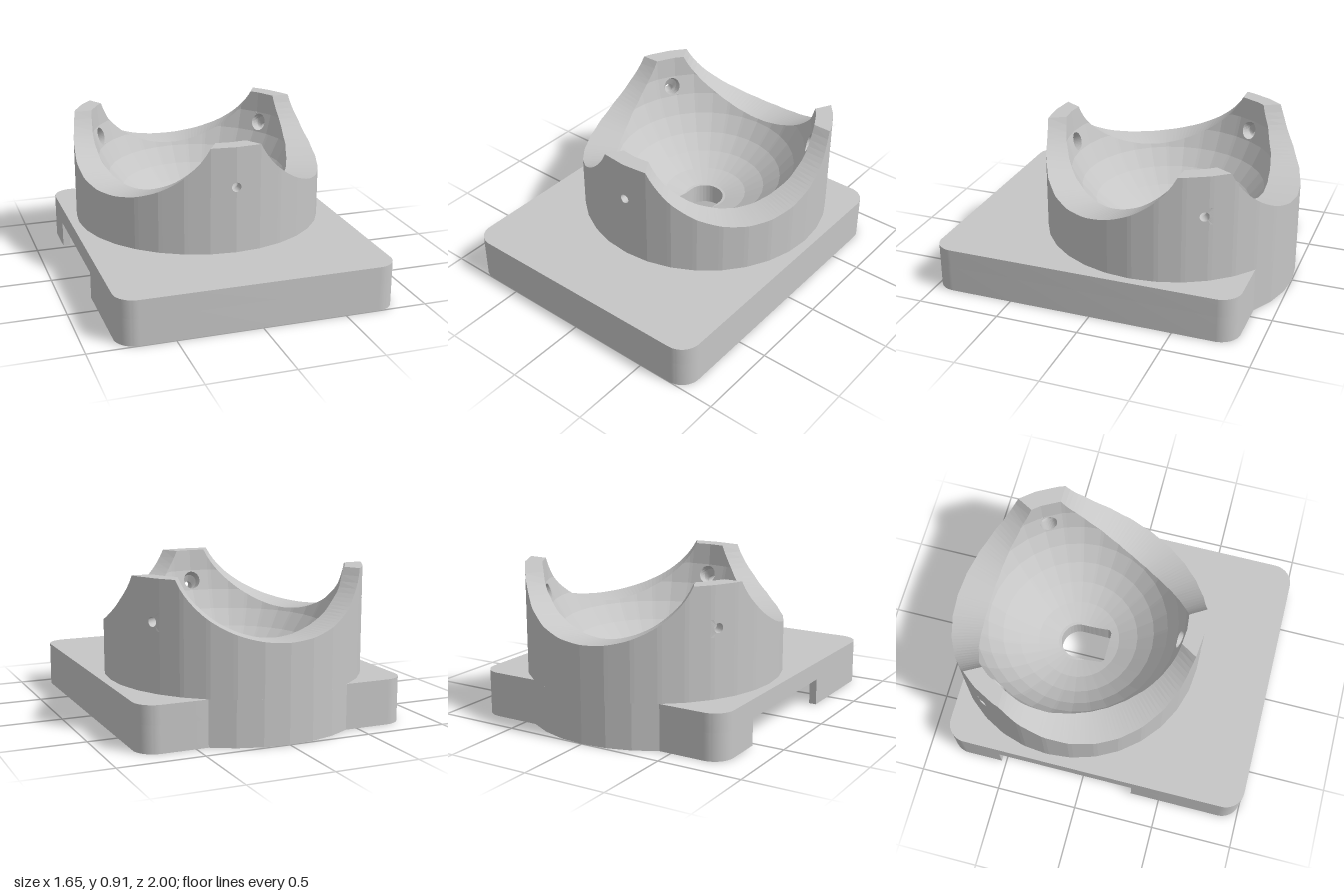
import * as THREE from 'three';
import { toCreasedNormals } from 'three/addons/utils/BufferGeometryUtils.js';

const RAD = Math.PI / 180;
const CZ = -0.23;                 // centre of the round holder in z
const R_OUT = 0.77, R_BALL = 0.667, Y_BALL = 0.91;
const PLATE_Y = 0.27, CEILING_Y = 0.16, PAD_Y = 0.125;
const STEP = 11.25;               // facet width in degrees (32 sides)

const grey = new THREE.MeshStandardMaterial({ color: 0xc6c6c6, side: THREE.DoubleSide });
grey.name = 'plain grey';

// Point at angle (degrees, 0 = front) on a 32-sided ring
function polar(deg, r, y) {
  const inFacet = ((deg % STEP) + STEP) % STEP - STEP / 2;
  const k = r * Math.cos(STEP / 2 * RAD) / Math.cos(inFacet * RAD);
  return new THREE.Vector3(k * Math.sin(deg * RAD), y, CZ + k * Math.cos(deg * RAD));
}
const onWall = (deg, y) => polar(deg, R_OUT, y);

// Point on the faceted bowl, a = degrees up from its lowest point
function onBowl(deg, a) {
  const a0 = Math.floor(a / STEP) * STEP;
  const ring = (b) => polar(deg, R_BALL * Math.sin(b * RAD), Y_BALL - R_BALL * Math.cos(b * RAD));
  return ring(a0).lerp(ring(a0 + STEP), (a - a0) / STEP);
}

// The two rear prongs sit slightly further back than an even third
function spread(deg) {
  const d = ((deg + 180) % 360 + 360) % 360 - 180;
  const m = Math.abs(d);
  return Math.sign(d) * (m < 120 ? m * 1.01 : 121.2 + (m - 120) * 0.98);
}

// Faceted surface through rows of points; skip(i, j) leaves a cell open
function addSurface(out, rows, skip = () => false) {
  for (let i = 0; i < rows.length - 1; i++) {
    for (let j = 0; j < rows[i].length - 1; j++) {
      if (skip(i, j)) continue;
      const a = rows[i][j], b = rows[i][j + 1], c = rows[i + 1][j + 1], d = rows[i + 1][j];
      for (const p of [a, b, c, a, c, d]) out.push(p.x, p.y, p.z);
    }
  }
}
function surfaceMesh(name, positions) {
  const g = new THREE.BufferGeometry();
  g.setAttribute('position', new THREE.Float32BufferAttribute(positions, 3));
  g.computeVertexNormals();
  const m = new THREE.Mesh(g, grey);
  m.name = name;
  return m;
}

// Radius of the arched sensor window at an angle
function windowRadius(deg) {
  const s = Math.abs(Math.sin(deg * RAD)), c = Math.cos(deg * RAD);
  return c <= 0 ? 0.113 : Math.min(0.113 / Math.max(s, 1e-6), 0.19 / c, 0.285 / (s + c));
}

// Ring of points on a patch: square border or round hole
function patchRing(place, u0, v0, hu, hv, square) {
  const ring = [];
  for (let k = 0; k <= 32; k++) {
    const c = Math.cos(k * STEP * RAD), s = Math.sin(k * STEP * RAD);
    const f = square ? 1 / Math.max(Math.abs(c), Math.abs(s)) : 1;
    ring.push(place(u0 + hu * c * f, v0 + hv * s * f));
  }
  return ring;
}

// Round holder: three prongs with dips between them and a ball bowl inside
function buildHolder() {
  const wall = [], rim = [], bowl = [], windowWall = [], sockets = [];
  const wallAt = (u, v) => onWall(spread(u), v);
  const bowlAt = (u, v) => onBowl(spread(u), v);
  for (let sector = 0; sector < 3; sector++) {
    const mid = sector * 120;
    const wallRows = [[], [], [], []], rimRows = [[], []], windowRows = [[], []];
    const bowlRows = Array.from({ length: 9 }, () => []);
    for (let j = -32; j <= 32; j++) {
      const l = j * 1.875, t = Math.min(1, (60 - Math.abs(l)) / 48.75);
      const dip = (1 - Math.sqrt(1 - (0.93 * t) ** 2)) / (1 - Math.sqrt(1 - 0.93 ** 2));
      const out = mid + l;
      const inn = mid + (t === 1 ? l * 8 / 11.25 : Math.sign(l) * (60 - t * 52));
      const yOut = 0.57 + 0.34 * dip, yIn = 0.56 + 0.35 * dip;
      [PLATE_Y, 0.62, 0.72, yOut].forEach((y, i) => wallRows[i].push(wallAt(out, Math.min(y, yOut))));
      const aMax = Math.acos((Y_BALL - yIn) / R_BALL) / RAD;
      const aMin = Math.asin(windowRadius(spread(inn)) / R_BALL) / RAD;
      bowlRows.forEach((row, k) => {
        const a = k === 0 ? aMin : k === 8 ? aMax : THREE.MathUtils.clamp(k * STEP, aMin, aMax);
        row.push(bowlAt(inn, a));
      });
      rimRows[0].push(wallAt(out, yOut));
      rimRows[1].push(bowlAt(inn, aMax));
      windowRows[0].push(bowlAt(inn, aMin));
      windowRows[1].push(bowlAt(inn, aMin).setY(PAD_Y));
    }
    addSurface(wall, wallRows, (i, j) => i === 1 && j >= 30 && j <= 33);
    addSurface(bowl, bowlRows, (i, j) => i === 6 && j >= 27 && j <= 36);
    addSurface(rim, rimRows);
    addSurface(windowWall, windowRows);

    // Pin hole outside, bearing socket inside
    const outHole = patchRing(wallAt, mid, 0.67, 2.1, 0.028, false);
    const inHole = patchRing(bowlAt, mid, 73.125, 4.8, 4.8, false);
    addSurface(wall, [patchRing(wallAt, mid, 0.67, 3.75, 0.05, true), outHole]);
    addSurface(bowl, [patchRing(bowlAt, mid, 73.125, 5 * 1.875 * 8 / 11.25, 5.625, true), inHole]);
    const tunnel = (r, y, h) => patchRing((u, v) => polar(spread(u), r, v), mid, y, h / r / RAD, h, false);
    addSurface(sockets, [inHole, tunnel(0.69, 0.695, 0.05), tunnel(0.705, 0.67, 0.028), outHole]);
  }
  const group = new THREE.Group();
  group.name = 'ballHolder';
  group.add(surfaceMesh('holderWall', wall), surfaceMesh('scallopedRim', rim), surfaceMesh('ballBowl', bowl),
    surfaceMesh('sensorWindow', windowWall), surfaceMesh('bearingSockets', sockets));
  return group;
}

// Plate outline inset by d, open at the side notch (shape y is -z)
function outline(d) {
  const w = 0.823 - d, b = 0.87 - d, f = -1 + d, r = 0.12 - d, R = R_OUT - d;
  const half = Math.acos((b + CZ) / R) / RAD;
  const p = new THREE.Path();
  p.moveTo(-w, -0.32);
  p.lineTo(-w, f + r);
  p.absarc(-w + r, f + r, r, Math.PI, 1.5 * Math.PI);
  p.absarc(w - r, f + r, r, -0.5 * Math.PI, 0);
  p.absarc(w - r, b - r, r, 0, 0.5 * Math.PI);
  for (const a of [half, 22.5, 11.25, 0, -11.25, -22.5, -half]) {
    p.lineTo(R * Math.sin(a * RAD), -CZ + R * Math.cos(a * RAD));
  }
  p.absarc(-w + r, b - r, r, 0.5 * Math.PI, Math.PI);
  p.lineTo(-w, 0.53);
  return p.getPoints(10);
}

// Upright slab from a flat shape, between two heights
function slab(name, shape, y0, y1, crease = 0.18) {
  let g = new THREE.ExtrudeGeometry(shape, { depth: y1 - y0, bevelEnabled: false, curveSegments: 20 });
  g.rotateX(-Math.PI / 2);
  g.translate(0, y0, 0);
  g = toCreasedNormals(g, crease);
  const m = new THREE.Mesh(g, grey);
  m.name = name;
  return m;
}
const circle = (x, y, r) => new THREE.Path().absarc(x, y, r, 0, 2 * Math.PI);

function buildBase() {
  const group = new THREE.Group();
  group.name = 'base';

  // Top plate
  const plate = new THREE.Shape(outline(0));
  plate.holes.push(circle(0, -CZ, 0.25));
  group.add(slab('topPlate', plate, CEILING_Y, PLATE_Y));

  // Thin skirt below it, with the gap on one side
  const skirt = new THREE.Shape([...outline(0), ...outline(0.045).reverse()]);
  group.add(slab('skirt', skirt, 0, CEILING_Y));

  // Raised pad under the sensor window
  const h = 0.36, r = 0.2, cy = -CZ;
  const pad = new THREE.Shape();
  pad.absarc(h - r, cy - h + r, r, -0.5 * Math.PI, 0);
  pad.absarc(h - r, cy + h - r, r, 0, 0.5 * Math.PI);
  pad.absarc(-h + r, cy + h - r, r, 0.5 * Math.PI, Math.PI);
  pad.absarc(-h + r, cy - h + r, r, Math.PI, 1.5 * Math.PI);
  const hole = [];
  for (let a = 0; a < 360; a += 3.75) {
    const q = windowRadius(a);
    hole.push(new THREE.Vector2(q * Math.sin(a * RAD), cy - q * Math.cos(a * RAD)));
  }
  pad.holes.push(new THREE.Path(hole));
  group.add(slab('sensorPad', pad, PAD_Y, CEILING_Y + 0.01));

  // Screw bosses in the corners
  for (const x of [-0.65, 0.65]) {
    for (const z of [-0.68, 0.81]) {
      const boss = new THREE.Shape().absarc(x, -z, 0.13, 0, 2 * Math.PI);
      boss.holes.push(circle(x, -z, 0.055));
      group.add(slab('screwBoss', boss, 0.045, CEILING_Y, 0.5));
    }
  }
  return group;
}

export function createModel() {
  const model = new THREE.Group();
  model.name = 'ballHolderCase';
  model.add(buildBase(), buildHolder());
  return model;
}
